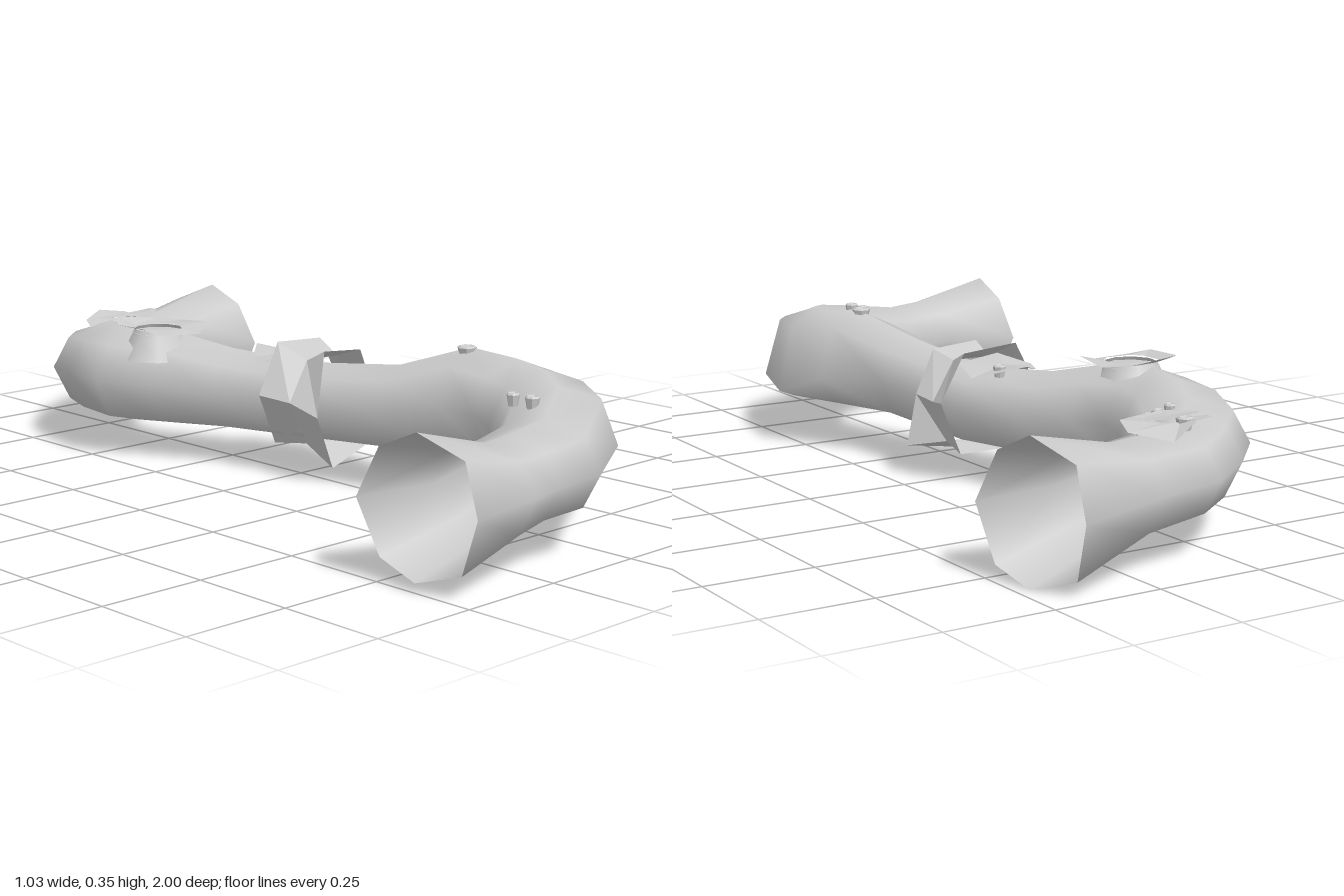
import * as THREE from 'three';

const smooth = new THREE.MeshStandardMaterial({ color: 0xcccccc, side: THREE.DoubleSide });
const faceted = new THREE.MeshStandardMaterial({ color: 0xcccccc, side: THREE.DoubleSide, flatShading: true });

// Open skin through a list of closed rings with equal point counts
function loft(name, rings, material) {
  const n = rings[0].length, index = [];
  for (let i = 0; i < rings.length - 1; i++) {
    for (let j = 0; j < n; j++) {
      const k = (j + 1) % n, a = i * n, b = a + n;
      index.push(a + j, a + k, b + k, a + j, b + k, b + j);
    }
  }
  const geo = new THREE.BufferGeometry().setFromPoints(rings.flat());
  geo.setIndex(index);
  geo.computeVertexNormals();
  const mesh = new THREE.Mesh(geo, material);
  mesh.name = name;
  return mesh;
}

// Ragged thin plate: outline points are [x, z, lift], fanned round a centre or a hole
function plate(name, outline, hole, pos) {
  const rim = outline.map(([x, z, y]) => new THREE.Vector3(x, y, z));
  const inner = rim.map((p) => new THREE.Vector3(p.x, 0, p.z).setLength(hole));
  const mesh = loft(name, [inner, rim], faceted);
  mesh.position.set(...pos);
  return mesh;
}

function lathe(name, profile, sides, pos, material) {
  const geo = new THREE.LatheGeometry(profile.map(([r, y]) => new THREE.Vector2(r, y)), sides);
  const mesh = new THREE.Mesh(geo, material);
  mesh.name = name;
  mesh.position.set(...pos);
  return mesh;
}

export function createModel() {
  const group = new THREE.Group();

  // Winding pipe: [edge x, edge z, other edge x, z, bottom, top, drop of the other edge]
  const sections = [
    [0.43, -1.0, 0.51, -0.73, 0.0, 0.31, 0],
    [0.19, -0.935, 0.33, -0.74, 0.065, 0.265, 0],
    [0.04, -0.92, 0.12, -0.67, 0.08, 0.265, 0],
    [-0.09, -0.83, 0.08, -0.64, 0.08, 0.28, 0],
    [-0.2, -0.72, 0.05, -0.6, 0.08, 0.29, 0],
    [-0.25, -0.59, 0.015, -0.53, 0.08, 0.31, 0],
    [-0.27, -0.45, -0.005, -0.45, 0.08, 0.315, 0],
    [-0.2, -0.33, 0.03, -0.36, 0.08, 0.31, 0],
    [-0.13, -0.2, 0.09, -0.24, 0.08, 0.28, 0],
    [-0.06, 0.0, 0.14, -0.04, 0.08, 0.265, 0],
    [-0.03, 0.27, 0.17, 0.25, 0.095, 0.295, 0],
    [0.025, 0.43, 0.25, 0.41, 0.1, 0.35, 0.04],
    [0.04, 0.52, 0.3, 0.54, 0.1, 0.335, 0.08],
    [0.01, 0.59, 0.265, 0.69, 0.1, 0.33, 0.06],
    [-0.04, 0.65, 0.19, 0.81, 0.1, 0.315, 0.03],
    [-0.1, 0.69, -0.07, 0.97, 0.09, 0.285, 0],
    [-0.2, 0.71, -0.19, 0.96, 0.085, 0.27, 0],
    [-0.34, 0.75, -0.28, 0.975, 0.075, 0.275, 0],
    [-0.52, 0.71, -0.48, 1.0, 0.02, 0.325, 0],
  ];
  const rings = sections.map(([ax, az, bx, bz, low, high, drop]) =>
    Array.from({ length: 8 }, (_, j) => {
      const t = j * Math.PI / 4, c = Math.cos(t) / 2;
      // Lower corners are fuller, giving a flatter underside
      const s = (j === 5 || j === 7 ? -0.8 : Math.sin(t)) / 2;
      return new THREE.Vector3((ax + bx) / 2 + c * (bx - ax),
        (low + high) / 2 + s * (high - low) - (j === 0 ? drop : 0), (az + bz) / 2 + c * (bz - az));
    }));
  // Uneven open mouths
  for (const [ring, dir] of [[rings[0], -1], [rings[rings.length - 1], 1]]) {
    ring.forEach((p, j) => { p.x += dir * [0, 0.015, 0, 0.015, 0, 0.02, 0, 0.01][j]; });
  }
  group.add(loft('pipe', rings, smooth));

  // Jagged collar, pinched at the waist
  const collar = [
    [[0.19, 0.2, -0.07], [0.12, 0.31, -0.06], [-0.03, 0.32, -0.05],
      [-0.1, 0.2, -0.04], [-0.03, 0.07, -0.06], [0.13, 0.07, -0.06]],
    [[0.17, 0.19, 0.0], [0.1, 0.28, 0.02], [0, 0.28, 0.02],
      [-0.075, 0.19, 0.04], [-0.01, 0.08, 0.03], [0.12, 0.085, 0.02]],
    [[0.18, 0.2, 0.06], [0.12, 0.3, 0.08], [0, 0.31, 0.08],
      [-0.08, 0.17, 0.14], [-0.01, 0.035, 0.12], [0.2, 0.075, 0.07]],
  ].map((ring) => ring.map((p) => new THREE.Vector3(...p)));
  group.add(loft('collar', collar, faceted));

  // Stub outlet with a ragged flange and sunken cap
  const outlet = new THREE.Group();
  outlet.name = 'outlet';
  outlet.add(
    lathe('outletNeck', [[0.1, -0.04], [0.07, 0.01], [0.06, 0.03]], 9, [-0.12, 0.29, -0.39], smooth),
    lathe('outletCap', [[0.066, 0], [0, 0.004]], 9, [-0.12, 0.312, -0.39], faceted),
    plate('outletFlange', [[-0.09, -0.05, 0.01], [-0.05, -0.1, 0.02], [0.06, -0.085, 0.005], [0.11, -0.04, 0],
      [0.1, 0.06, 0.01], [0.05, 0.1, -0.01], [-0.06, 0.09, -0.005], [-0.085, 0.04, 0.01]], 0.062,
      [-0.12, 0.323, -0.39]));
  group.add(outlet);

  // Loose crust plates on top
  group.add(
    plate('crustPlate', [[-0.13, 0.04, -0.01], [-0.1, -0.02, 0], [-0.02, -0.07, 0.01], [0.06, -0.1, -0.02],
      [0.14, -0.05, 0], [0.11, 0.02, 0.01], [0.04, 0.07, 0], [-0.02, 0.05, 0.01], [-0.06, 0.1, -0.02]], 0.03,
      [0.07, 0.277, -0.78]),
    plate('crustFlake', [[-0.08, 0, 0], [-0.03, -0.05, 0.01], [0.04, -0.03, 0], [0.06, 0.03, -0.01],
      [-0.02, 0.05, 0]], 0.001, [0.06, 0.285, -0.77]),
    plate('collarFlake', [[-0.09, 0.02, -0.01], [-0.06, -0.05, -0.01], [0, -0.1, 0.01], [0.1, -0.02, -0.02],
      [0.08, 0.07, 0], [-0.04, 0.09, 0.01]], 0.001, [0.03, 0.28, -0.09]));

  // Small cup-shaped growths: x, y, z, radius
  const cups = [
    [0.13, 0.345, 0.415, 0.023], [-0.025, 0.3, 0.69, 0.015], [-0.02, 0.3, 0.74, 0.017],
    [0.0, 0.262, -0.66, 0.019], [0.025, 0.255, -0.655, 0.014], [-0.01, 0.277, -0.68, 0.013],
    [0.135, 0.272, -0.775, 0.016], [0.05, 0.28, -0.81, 0.02], [0.06, 0.278, -0.12, 0.016],
  ];
  for (const [x, y, z, r] of cups) {
    group.add(lathe('cupGrowth', [[r * 0.7, -0.02], [r, 0.005], [r * 0.75, 0.009], [0, 0]], 7, [x, y, z], faceted));
  }
  return group;
}
